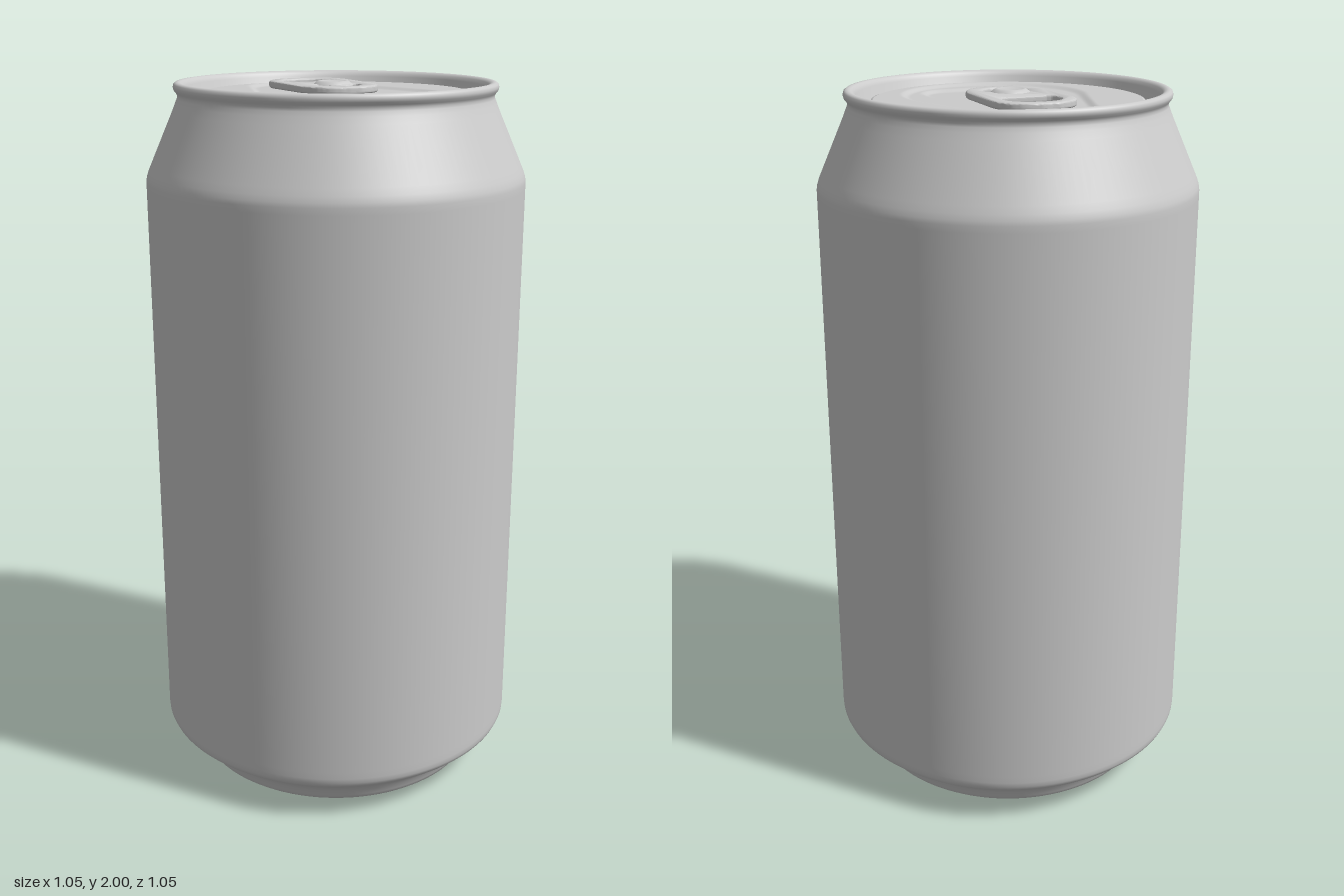
import * as THREE from 'three';
import { toCreasedNormals } from 'three/addons/utils/BufferGeometryUtils.js';

const material = new THREE.MeshStandardMaterial({ color: 0xcccccc, roughness: 0.6 });
const PANEL_Y = 1.972;
const PANEL_R = 0.362;

function addMesh(parent, name, geometry) {
  const mesh = new THREE.Mesh(geometry, material);
  mesh.name = name;
  parent.add(mesh);
  return mesh;
}

function lathe(pairs, segments) {
  return new THREE.LatheGeometry(pairs.map(([r, y]) => new THREE.Vector2(r, y)), segments);
}

// Signed distance to a teardrop: the hull of a small circle (back) and a large one (front)
function teardrop(x, z) {
  const r1 = 0.245, r2 = 0.14, h = 0.32;
  const px = Math.abs(x), py = 0.1 - z;
  const b = (r1 - r2) / h, a = Math.sqrt(1 - b * b);
  const k = -b * px + a * py;
  if (k < 0) return Math.hypot(px, py) - r1;
  if (k > a * h) return Math.hypot(px, py - h) - r2;
  return px * a + py * b - r1;
}

// Signed distance to the kidney-shaped mouth: a rounded box with a round bite
function mouth(x, z) {
  const r = 0.085;
  const qx = Math.abs(x) - (0.157 - r), qz = Math.abs(z - 0.195) - (0.1 - r);
  const box = Math.hypot(Math.max(qx, 0), Math.max(qz, 0)) + Math.min(Math.max(qx, qz), 0) - r;
  const bite = 0.105 - Math.hypot(x, z - 0.025);
  const k = 0.03, t = Math.max(k - Math.abs(box - bite), 0) / k;
  return Math.max(box, bite) + t * t * k * 0.25;
}

const inside = (d, w) => 1 - THREE.MathUtils.smoothstep(d, -w, w);

// Lid panel with stepped recesses
function panelGeometry() {
  const g = new THREE.RingGeometry(0, PANEL_R, 160, 72);
  g.rotateX(-Math.PI / 2);
  const p = g.attributes.position;
  for (let i = 0; i < p.count; i++) {
    const x = p.getX(i), z = p.getZ(i);
    p.setY(i, PANEL_Y - 0.008 * inside(teardrop(x, z), 0.012) - 0.008 * inside(mouth(x, z), 0.012));
  }
  g.computeVertexNormals();
  return g;
}

// Pull tab outline (shape y becomes world z) with finger hole and smile slot
function tabGeometry() {
  const s = new THREE.Shape();
  s.moveTo(-0.117, -0.16);
  s.bezierCurveTo(-0.117, -0.225, -0.07, -0.263, 0, -0.263);
  s.bezierCurveTo(0.07, -0.263, 0.117, -0.225, 0.117, -0.16);
  s.lineTo(0.112, 0.01);
  s.bezierCurveTo(0.108, 0.075, 0.06, 0.112, 0, 0.112);
  s.bezierCurveTo(-0.06, 0.112, -0.108, 0.075, -0.112, 0.01);
  s.closePath();

  const finger = new THREE.Path();
  finger.moveTo(-0.055, -0.122);
  finger.lineTo(0.055, -0.122);
  finger.bezierCurveTo(0.075, -0.122, 0.08, -0.14, 0.08, -0.16);
  finger.bezierCurveTo(0.075, -0.205, 0.045, -0.228, 0, -0.228);
  finger.bezierCurveTo(-0.045, -0.228, -0.075, -0.205, -0.08, -0.16);
  finger.bezierCurveTo(-0.08, -0.14, -0.075, -0.122, -0.055, -0.122);

  const slot = new THREE.Path();
  slot.absarc(0, 0.012, 0.062, 0, Math.PI, false);
  slot.absarc(-0.05, 0.012, 0.012, Math.PI, Math.PI * 2, false);
  slot.absarc(0, 0.012, 0.038, Math.PI, 0, true);
  slot.absarc(0.05, 0.012, 0.012, Math.PI, Math.PI * 2, false);

  s.holes.push(finger, slot);
  const g = new THREE.ExtrudeGeometry(s, {
    depth: 0.006, curveSegments: 20, bevelEnabled: true,
    bevelThickness: 0.007, bevelSize: 0.007, bevelOffset: -0.007, bevelSegments: 4,
  });
  g.rotateX(Math.PI / 2);
  return toCreasedNormals(g, 0.7);
}

export function createModel() {
  const can = new THREE.Group();
  can.name = 'drinkCan';

  // Shell: domed underside, foot, wall, shoulder, rolled rim and countersink
  addMesh(can, 'shell', lathe([
    [0, 0.058], [0.1, 0.054], [0.2, 0.045], [0.285, 0.034], [0.3, 0.031], [0.315, 0.027],
    [0.35, 0.014], [0.375, 0.004], [0.392, 0], [0.408, 0.002], [0.418, 0.01], [0.424, 0.022],
    [0.431, 0.04], [0.443, 0.057], [0.462, 0.074], [0.485, 0.09], [0.508, 0.106], [0.517, 0.115],
    [0.522, 0.126], [0.523, 0.14], [0.523, 0.16], [0.523, 1.72], [0.523, 1.738],
    [0.521, 1.75], [0.516, 1.765], [0.508, 1.783], [0.445, 1.925], [0.437, 1.945],
    [0.432, 1.957], [0.431, 1.965], [0.434, 1.972], [0.44, 1.979], [0.442, 1.987],
    [0.44, 1.995], [0.434, 1.999], [0.427, 2], [0.42, 1.998], [0.414, 1.993], [0.409, 1.984],
    [0.397, 1.947], [0.393, 1.942], [0.386, 1.939], [0.38, 1.942], [0.376, 1.948],
    [0.371, 1.965], [0.368, 1.97], [PANEL_R, PANEL_Y],
  ], 128));

  addMesh(can, 'lidPanel', panelGeometry());

  // Pull tab resting on the recessed panel
  addMesh(can, 'pullTab', tabGeometry()).position.y = 1.984;

  // Rivet: low dome with a shallow dished head
  const rivet = addMesh(can, 'rivet', lathe([
    [0.056, -0.004], [0.052, 0], [0.046, 0.005], [0.04, 0.008], [0.034, 0.008], [0.026, 0.005], [0, 0.004],
  ], 40));
  rivet.position.set(0, 1.991, -0.018);

  return can;
}
